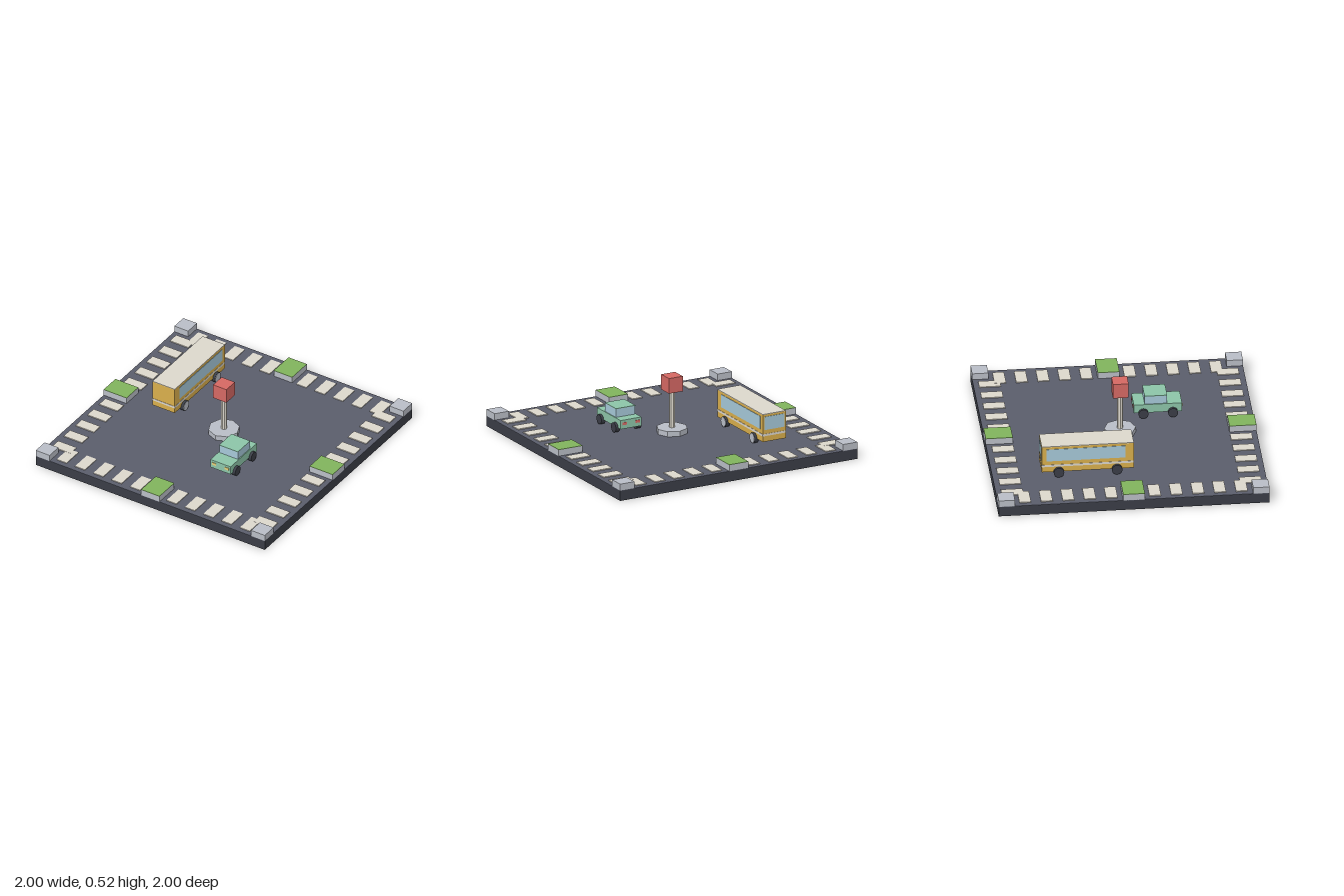
import * as THREE from 'three';

const mat = (color) => new THREE.MeshStandardMaterial({ color, flatShading: true });
const M = {
  dark: mat(0x3a3d46), road: mat(0x5a5d6b), cream: mat(0xdcd7cc), grey: mat(0xb9bdc6),
  green: mat(0x80b35c), red: mat(0xd46863), yellow: mat(0xd8ae4c), glass: mat(0xa6c8d8),
  mint: mat(0x8cc4a8), lamp: mat(0xe6d27a),
};

// Box given by its min and max corners
function box(parent, name, m, [x0, y0, z0], [x1, y1, z1]) {
  const mesh = new THREE.Mesh(new THREE.BoxGeometry(x1 - x0, y1 - y0, z1 - z0), m);
  mesh.position.set((x0 + x1) / 2, (y0 + y1) / 2, (z0 + z1) / 2);
  mesh.name = name;
  parent.add(mesh);
  return mesh;
}

// Wheel disc with its axle along x
function disc(parent, name, m, r, w, x, y, z) {
  const mesh = new THREE.Mesh(new THREE.CylinderGeometry(r, r, w, 16).rotateZ(Math.PI / 2), m);
  mesh.position.set(x, y, z);
  mesh.name = name;
  parent.add(mesh);
}

function group(parent, name, x = 0, z = 0) {
  const g = new THREE.Group();
  g.name = name;
  g.position.set(x, 0, z);
  parent.add(g);
  return g;
}

function addBus(root) {
  const bus = group(root, 'bus', -0.502, -0.3);
  box(bus, 'busBody', M.yellow, [-0.097, 0.122, -0.34], [0.097, 0.33, 0.34]);
  box(bus, 'busRoof', M.cream, [-0.097, 0.33, -0.34], [0.097, 0.335, 0.34]);
  box(bus, 'busStripe', M.cream, [-0.099, 0.165, -0.342], [0.099, 0.182, 0.342]);
  box(bus, 'busSideWindows', M.glass, [-0.1, 0.213, -0.307], [0.1, 0.312, 0.278]);
  box(bus, 'busWindscreen', M.glass, [-0.083, 0.213, -0.343], [0.083, 0.315, -0.335]);
  for (const z of [-0.215, 0.215]) {
    for (const s of [-1, 1]) disc(bus, 'busWheel', M.dark, 0.039, 0.036, s * 0.099, 0.121, z);
    disc(bus, 'busHub', M.grey, 0.036, 0.006, 0.116, 0.121, z);
  }
}

function addCar(root) {
  const car = group(root, 'car', 0.277, 0.3);
  box(car, 'carBody', M.mint, [-0.088, 0.125, -0.178], [0.088, 0.193, 0.178]);
  box(car, 'carCabin', M.glass, [-0.081, 0.193, -0.097], [0.081, 0.257, 0.068]);
  box(car, 'carRoof', M.mint, [-0.082, 0.256, -0.098], [0.082, 0.261, 0.069]);
  for (const s of [-1, 1]) {
    const x = s * 0.055;
    box(car, 'headlight', M.lamp, [x - 0.018, 0.155, 0.174], [x + 0.018, 0.175, 0.182]);
    box(car, 'tailLight', M.red, [x - 0.018, 0.155, -0.182], [x + 0.018, 0.175, -0.174]);
    for (const z of [-0.108, 0.11]) disc(car, 'carWheel', M.dark, 0.037, 0.036, s * 0.09, 0.123, z);
  }
}

export function createModel() {
  const root = new THREE.Group();
  root.name = 'intersection';

  // Slab and road surface
  box(root, 'baseSlab', M.dark, [-1, 0, -1], [1, 0.077, 1]);
  box(root, 'roadSurface', M.road, [-1, 0.077, -1], [1, 0.08, 1]);

  // One edge of crossing stripes, median and corner block, turned to all four sides
  for (let side = 0; side < 4; side++) {
    const edge = group(root, 'roadEdge');
    edge.rotation.y = side * Math.PI / 2;
    const top = 0.086 + (side % 2) * 0.001;
    for (let i = -5; i <= 5; i++) {
      if (i === 0) continue;
      const x = i * 0.16;
      box(edge, 'crossingStripe', M.cream, [x - 0.043, 0.079, 0.8], [x + 0.043, top, 0.96]);
    }
    box(edge, 'medianKerb', M.grey, [-0.08, 0.079, 0.8], [0.08, 0.127, 1]);
    box(edge, 'medianGrass', M.green, [-0.08, 0.127, 0.8], [0.08, 0.13, 1]);
    box(edge, 'cornerBlock', M.grey, [0.88, 0.079, 0.88], [1, 0.13, 1]);
  }

  // Central signal post
  const signal = group(root, 'signalPost');
  const plinth = new THREE.Mesh(new THREE.CylinderGeometry(0.117, 0.117, 0.04, 8), M.grey);
  plinth.position.y = 0.1;
  plinth.name = 'plinth';
  const pole = new THREE.Mesh(new THREE.CylinderGeometry(0.022, 0.022, 0.3, 8), M.cream);
  pole.position.y = 0.265;
  pole.name = 'pole';
  signal.add(plinth, pole);
  box(signal, 'signalHead', M.red, [-0.058, 0.403, -0.058], [0.058, 0.52, 0.058]);

  addBus(root);
  addCar(root);
  return root;
}
